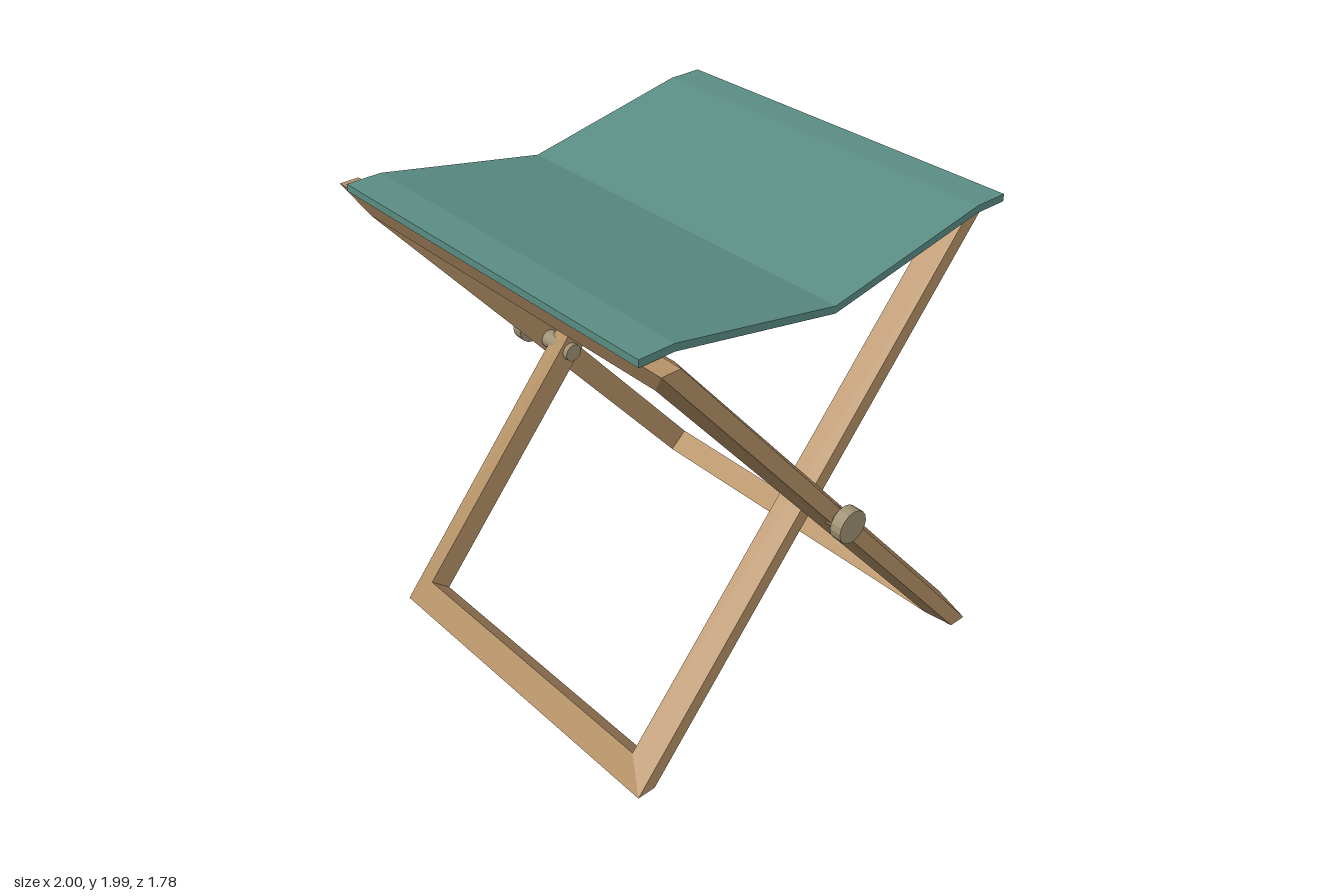
import * as THREE from 'three';

const WOOD = new THREE.MeshStandardMaterial({ color: 0xb8946a, flatShading: true });
const CLOTH = new THREE.MeshStandardMaterial({ color: 0x5c8f86, flatShading: true });
const PIN = new THREE.MeshStandardMaterial({ color: 0xa09274, flatShading: true });
const HEIGHT = 1.96, PIVOT_Y = 0.98;

// Mitred rectangular frame with a tapered section, leaning back from the bottom front
function makeFrame(name, outerX, innerX) {
  // section at the foot: outer pair, then inner pair, as [z, y]
  const foot = [[0.872, 0], [0.79, 0], [0.727, 0.047], [0.81, 0.12]];
  const flip = ([z, y]) => [-z, HEIGHT - y];
  const head = [1, 0, 3, 2].map(i => flip(foot[i]));
  const corner = (section, side) =>
    section.map(([z, y], i) => [side * (i < 2 ? outerX : innerX), y, z]);
  const rings = [corner(foot, 1), corner(head, 1), corner(head, -1), corner(foot, -1)];

  const positions = [];
  for (let i = 0; i < 4; i++) {
    const p = rings[i], q = rings[(i + 1) % 4];
    for (let j = 0; j < 4; j++) {
      const k = (j + 1) % 4;
      positions.push(...p[j], ...p[k], ...q[k], ...p[j], ...q[k], ...q[j]);
    }
  }
  const geometry = new THREE.BufferGeometry();
  geometry.setAttribute('position', new THREE.Float32BufferAttribute(positions, 3));
  geometry.computeVertexNormals();
  const mesh = new THREE.Mesh(geometry, WOOD);
  mesh.name = name;
  return mesh;
}

// Sagging cloth with flat hems over the top rails
function makeSeat() {
  const width = 1.69, thickness = 0.03;
  const line = [[-0.89, 1.993], [-0.74, 1.993], [0, 1.85], [0.74, 1.993], [0.89, 1.993]];
  const under = line.map(([z, y]) => [z, y - thickness]).reverse();
  const shape = new THREE.Shape([...line, ...under].map(p => new THREE.Vector2(...p)));
  const geometry = new THREE.ExtrudeGeometry(shape, { depth: width, bevelEnabled: false });
  geometry.translate(0, 0, -width / 2).rotateY(-Math.PI / 2);
  const mesh = new THREE.Mesh(geometry, CLOTH);
  mesh.name = 'seat';
  return mesh;
}

// Cylinder along x between two positions
function rod(name, radius, x0, x1) {
  const geometry = new THREE.CylinderGeometry(radius, radius, x1 - x0, 16);
  geometry.rotateZ(-Math.PI / 2).translate((x0 + x1) / 2, PIVOT_Y, 0);
  const mesh = new THREE.Mesh(geometry, PIN);
  mesh.name = name;
  return mesh;
}

export function createModel() {
  const model = new THREE.Group();
  model.name = 'foldingStool';

  const outerFrame = makeFrame('outerFrame', 0.93, 0.83);
  outerFrame.rotation.y = Math.PI;
  model.add(makeFrame('innerFrame', 0.785, 0.68), outerFrame, makeSeat());

  // Pivot pins with round heads
  for (const [side, turn] of [['left', 0], ['right', Math.PI]]) {
    const pivot = new THREE.Group();
    pivot.name = side + 'Pivot';
    pivot.add(rod('pin', 0.04, 0.655, 0.96), rod('pinHead', 0.07, 0.95, 1));
    pivot.rotation.y = turn;
    model.add(pivot);
  }
  return model;
}
